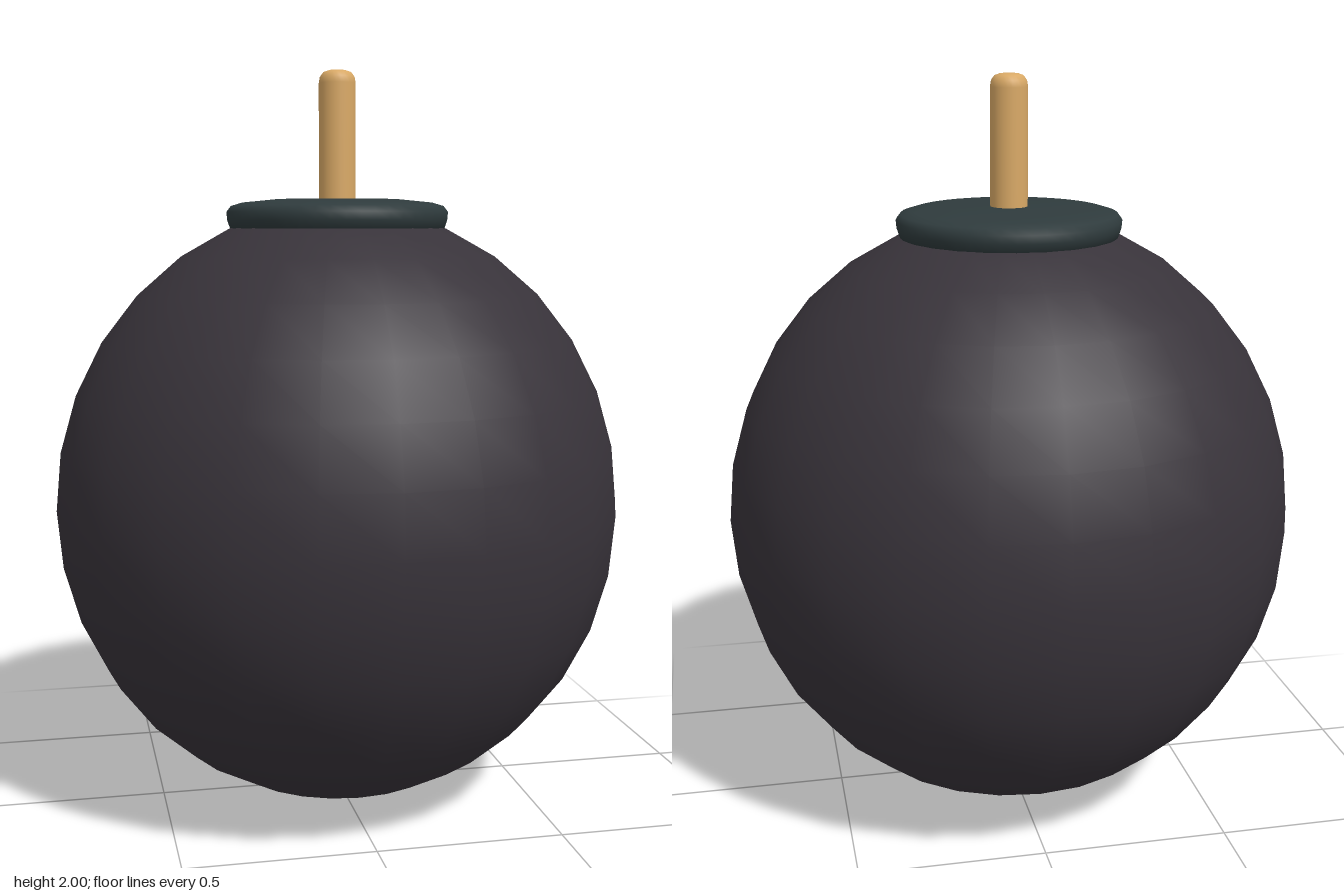
import * as THREE from 'three';

// Turned part from [radius, height] pairs, listed bottom to top
function turned(name, points, segments, color) {
  const geometry = new THREE.LatheGeometry(points.map(([r, y]) => new THREE.Vector2(r, y)), segments);
  const mesh = new THREE.Mesh(geometry, new THREE.MeshStandardMaterial({ color }));
  mesh.name = name;
  return mesh;
}

export function createModel() {
  const group = new THREE.Group();
  group.name = 'roundBomb';

  // Slightly tall round body
  const body = new THREE.Mesh(
    new THREE.SphereGeometry(0.775, 24, 16).scale(1, 0.82 / 0.775, 1),
    new THREE.MeshStandardMaterial({ color: 0x38333a })
  );
  body.name = 'body';
  body.position.y = 0.82;
  group.add(body);

  // Low cap with a rounded rim
  group.add(turned('cap', [
    [0, 1.57], [0.29, 1.57], [0.3, 1.6], [0.302, 1.622], [0.29, 1.638],
    [0.26, 1.647], [0.17, 1.656], [0, 1.656],
  ], 48, 0x2f3b3d));

  // Fuse with a rounded tip
  group.add(turned('fuse', [
    [0.05, 1.6], [0.05, 1.965], [0.047, 1.982], [0.038, 1.994], [0.024, 1.999], [0, 2],
  ], 24, 0xd9a966));

  return group;
}
